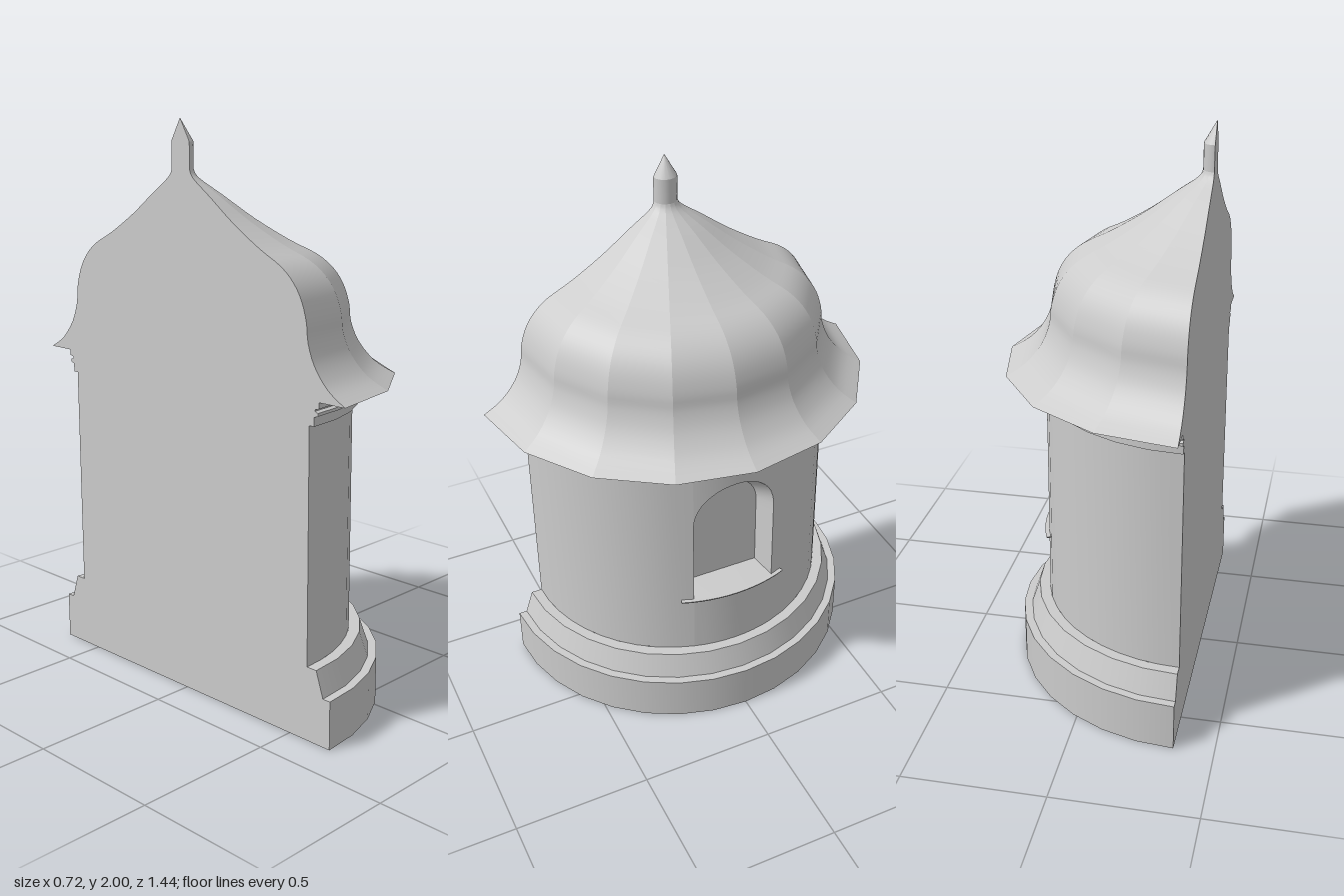
import * as THREE from 'three';
import { mergeGeometries, toCreasedNormals } from 'three/addons/utils/BufferGeometryUtils.js';
import { ParametricGeometry } from 'three/addons/geometries/ParametricGeometry.js';

const R = 0.575;          // drum radius
const WALL = [0.26, 1.07]; // drum bottom and top
const OUT = { w: 0.16, spring: 0.84, rise: 0.16, floor: 0.50 };   // window opening at the wall face
const INN = { w: 0.137, spring: 0.81, rise: 0.125, floor: 0.517 }; // window opening at the back
const BACK = 0.46;        // distance of the niche back from the axis

const mat = new THREE.MeshStandardMaterial({ color: 0xcccccc });
const mix = THREE.MathUtils.lerp;
const onDrum = z => Math.sqrt(R * R - z * z);

// Surface from a rule (u, v) -> [x, y, z]
function surface(rule, nu, nv) {
  const g = new ParametricGeometry((u, v, p) => p.set(...rule(u, v)), nu, nv);
  g.computeVertexNormals();
  return g;
}

// Half-turn bands, one per pair of profile points, with sharp edges between them
function bands(profile, segments) {
  return mergeGeometries(profile.slice(1).map((p, i) => new THREE.LatheGeometry(
    [new THREE.Vector2(...profile[i]), new THREE.Vector2(...p)], segments, 0, Math.PI)));
}

// Point of a window outline: up one jamb, over the arch, down the other
function outline(o, u) {
  if (u < 0.25) return [o.w, mix(o.floor, o.spring, u * 4)];
  if (u > 0.75) return [-o.w, mix(o.spring, o.floor, u * 4 - 3)];
  const t = (u - 0.25) * 2 * Math.PI;
  return [o.w * Math.cos(t), o.spring + o.rise * Math.sin(t)];
}
const arch = (o, u) => outline(o, 0.25 + u / 2);

export function createModel() {
  const turret = new THREE.Group();
  turret.name = 'halfTurret';
  const add = (name, geometry) => {
    const m = new THREE.Mesh(geometry, mat);
    m.name = name;
    m.position.x = -0.36;
    turret.add(m);
    return m;
  };

  // Stepped plinth and cornice
  const plinth = [[0, 0], [0.675, 0], [0.675, 0.17], [0.645, 0.17], [0.615, 0.26], [R, 0.26]];
  const cornice = [[R, 1.07], [0.595, 1.07], [0.595, 1.10], [0.61, 1.105], [0.61, 1.115],
    [0.598, 1.12], [0.598, 1.125], [0.615, 1.13], [0.615, 1.15]];
  add('plinth', bands(plinth, 16));
  add('cornice', bands(cornice, 16));

  // Drum wall: a sector each side of the window, and strips above and below it
  const edge = Math.asin(OUT.w / R);
  const sector = (a, b) => surface((u, v) => {
    const t = mix(a, b, u);
    return [R * Math.cos(t), mix(...WALL, v), -R * Math.sin(t)];
  }, 10, 1);
  const above = surface((u, v) => {
    const [z, y] = arch(OUT, u);
    return [onDrum(z), mix(y, WALL[1], v), z];
  }, 20, 1);
  const below = surface((u, v) => {
    const z = mix(OUT.w, -OUT.w, u);
    return [onDrum(z), mix(WALL[0], OUT.floor, v), z];
  }, 8, 1);
  add('drumWall', mergeGeometries([
    sector(-Math.PI / 2, -edge), sector(edge, Math.PI / 2), above, below]));

  // Splayed window niche
  add('windowReveal', surface((u, v) => {
    const [zi, yi] = outline(INN, u), [zo, yo] = outline(OUT, u);
    return [mix(BACK, onDrum(zo), v), mix(yi, yo, v), mix(zi, zo, v)];
  }, 32, 1));
  add('windowFloor', surface((u, v) => {
    const s = 1 - 2 * u, zo = s * OUT.w;
    return [mix(onDrum(zo), BACK, v), mix(OUT.floor, INN.floor, v), mix(zo, s * INN.w, v)];
  }, 8, 1));
  add('windowBack', surface((u, v) => {
    const [z, y] = arch(INN, u);
    return [BACK, mix(INN.floor, y, v), z];
  }, 20, 1));

  // Curved sill with undercut front and ends: [radius, height, half angle]
  const sillRows = [[0.57, 0.48, 0.27], [0.588, 0.494, 0.36], [0.59, 0.5, 0.365], [0.55, 0.5, 0.365]];
  add('windowSill', toCreasedNormals(surface((u, v) => {
    const [r, y, half] = sillRows[Math.round(v * 3)];
    const col = Math.round(u * 14);
    const t = mix(-half, half, THREE.MathUtils.clamp((col - 1) / 12, 0, 1));
    const rr = col % 14 ? r : Math.min(r, 0.57); // end columns close onto the wall
    return [rr * Math.cos(t), y, -rr * Math.sin(t)];
  }, 14, 3), 0.5));

  // Bell-shaped roof: eight flat-sided gores, smooth from eave to neck
  const roofCurve = new THREE.SplineCurve([
    [0.72, 1.15], [0.65, 1.194], [0.595, 1.26], [0.567, 1.33], [0.56, 1.39], [0.54, 1.455],
    [0.505, 1.51], [0.45, 1.557], [0.36, 1.603], [0.244, 1.674], [0.14, 1.75], [0.06, 1.807],
    [0.043, 1.835]].map(p => new THREE.Vector2(...p)));
  const gores = [];
  for (let i = 0; i < 8; i++) {
    const a = -Math.PI / 2 + i * Math.PI / 8, b = a + Math.PI / 8;
    gores.push(surface((u, v) => {
      const p = roofCurve.getPoint(v);
      return [p.x * mix(Math.cos(a), Math.cos(b), u), p.y, -p.x * mix(Math.sin(a), Math.sin(b), u)];
    }, 1, 36));
  }
  add('roof', mergeGeometries(gores));
  add('roofUnderside', bands([[0, 1.15], [0.72, 1.15]], 8));

  // Pointed finial
  const finial = [[0.043, 1.82], [0.043, 1.925], [0, 2]];
  add('finial', bands(finial, 8));

  // Flat cut face closing the half turret
  const half = [...plinth, ...cornice, ...roofCurve.getPoints(36).map(p => [p.x, p.y]), ...finial.slice(1)];
  const mirrored = half.slice(1, -1).reverse().map(([r, y]) => [-r, y]);
  const cut = new THREE.Shape([...half.slice(1), ...mirrored].map(p => new THREE.Vector2(...p)));
  add('cutFace', new THREE.ShapeGeometry(cut)).rotation.y = -Math.PI / 2;

  return turret;
}
